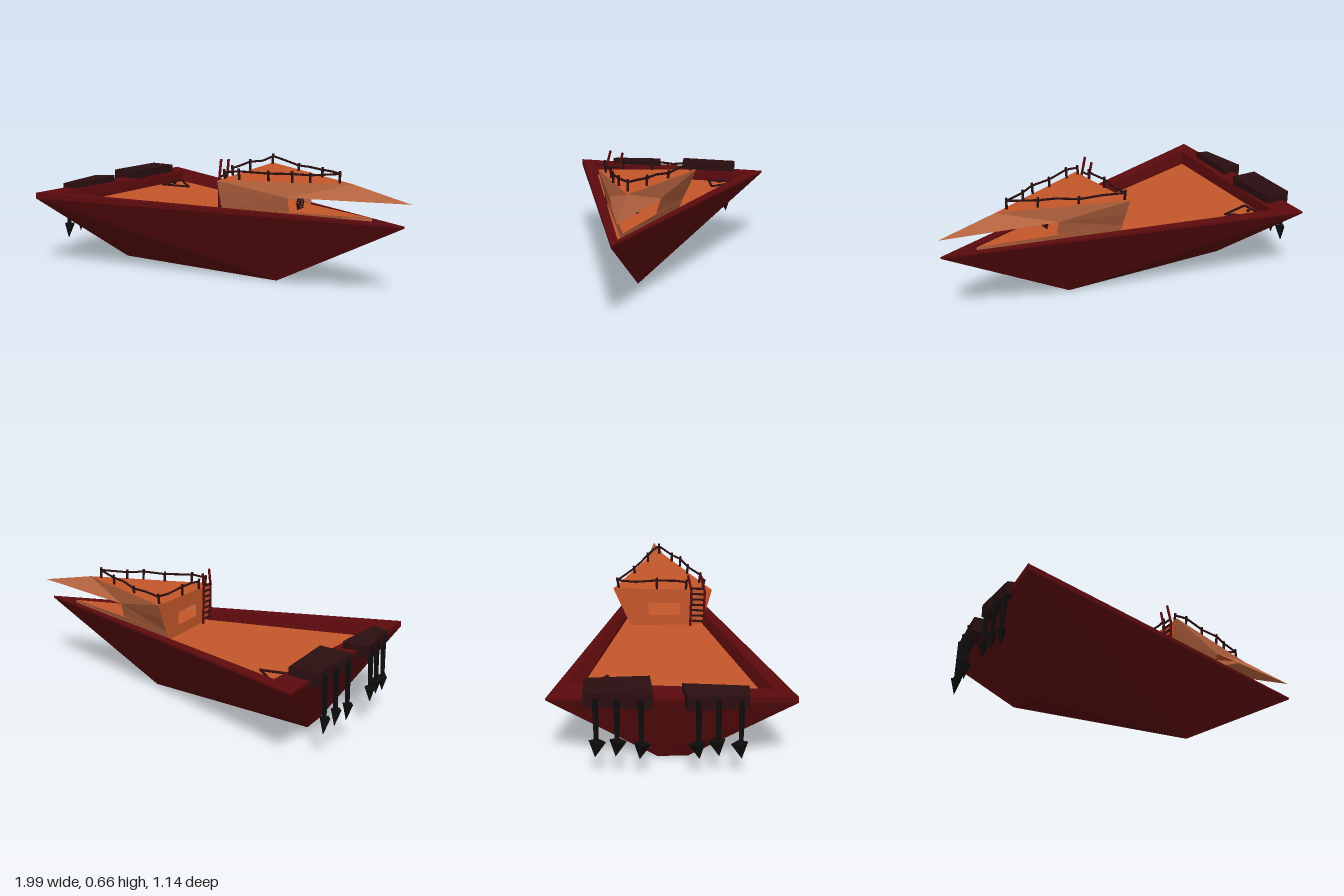
import * as THREE from 'three';

const mat = (color) => new THREE.MeshStandardMaterial({ color, flatShading: true, side: THREE.DoubleSide });
const RED = mat(0x5c0a0d), ORANGE = mat(0xc4562a), WALL = mat(0xb5633f), DARK = mat(0x2a0e10), BLACK = mat(0x0e0c0c);
const V = (p) => new THREE.Vector3(...p);

export function createModel() {
  const model = new THREE.Group();

  const add = (name, geometry, material, parent = model) => {
    const mesh = new THREE.Mesh(geometry, material);
    mesh.name = name;
    parent.add(mesh);
    return mesh;
  };
  const group = (name) => {
    const g = new THREE.Group();
    g.name = name;
    model.add(g);
    return g;
  };
  // Flat panels: each face is a convex loop of corner points
  const panels = (name, faces, material, parent) => {
    const pos = [];
    for (const f of faces)
      for (let i = 1; i < f.length - 1; i++) pos.push(...f[0], ...f[i], ...f[i + 1]);
    const g = new THREE.BufferGeometry();
    g.setAttribute('position', new THREE.Float32BufferAttribute(pos, 3));
    g.computeVertexNormals();
    return add(name, g, material, parent);
  };
  // Straight stick between two points
  const stick = (name, a, b, r, material, parent, r2 = r) => {
    const from = V(a), dir = V(b).sub(from);
    const mesh = add(name, new THREE.CylinderGeometry(r2, r, dir.length(), 5), material, parent);
    mesh.position.copy(from).addScaledVector(dir, 0.5);
    mesh.quaternion.setFromUnitVectors(new THREE.Vector3(0, 1, 0), dir.normalize());
    return mesh;
  };

  // Hull: triangular rim tapering to a narrow flat keel, with a sunken deck
  const rim = [[-0.945, 0.43, 0.57], [-0.87, 0.405, -0.57], [0.975, 0.4, 0]];
  const low = [[-0.945, 0.4, 0.572], [-0.87, 0.395, -0.572], [0.975, 0.39, 0]];
  const keel = [[-0.72, 0, 0.09], [-0.72, 0, -0.06], [0.25, 0, 0.005]];
  const inner = [[-0.855, 0.425, 0.475], [-0.735, 0.412, -0.475], [0.87, 0.402, -0.01]];
  const deck = [[-0.845, 0.355, 0.455], [-0.74, 0.355, -0.435], [0.84, 0.365, -0.01]];
  const band = (name, a, b) => panels(name, [0, 1, 2].map((i) => {
    const j = (i + 1) % 3;
    // The last side folds along its other diagonal, from the stern corner
    return i < 2 ? [a[i], a[j], b[j], b[i]] : [a[j], b[j], b[i], a[i]];
  }), RED);
  band('hullSides', low, keel);
  panels('keel', [keel], RED);
  band('gunwaleEdge', rim, low);
  band('gunwaleTop', inner, rim);
  band('gunwaleInside', deck, inner);
  panels('deck', [deck], ORANGE);

  // Cabin: flared walls, open wraparound window and a pointed visor
  const cabin = group('cabin');
  const peak = [0.68, 0.57, -0.02], tip = [0.996, 0.505, -0.03];
  const roofL = [0.045, 0.56, 0.255], roofR = [0.045, 0.575, -0.27];
  const footL = [0.045, 0.36, 0.2], footR = [0.045, 0.36, -0.18];
  const floorL = [0.045, 0.411, 0.215], floorR = [0.045, 0.411, -0.195], floorTip = [0.79, 0.411, -0.02];
  for (const [name, top, foot, floor, s, shift] of [
    ['leftWall', roofL, footL, floorL, 1, 0], ['rightWall', roofR, footR, floorR, -1, -0.01]]) {
    const corner = [0.385, 0.49, s * 0.125 + shift];
    const sill = [0.385, 0.411, s * 0.1 + shift];
    const mid = [0.045, 0.49, (top[2] + floor[2]) / 2 + s * 0.003];
    panels(name, [
      [floor, sill, corner, mid], [mid, corner, top], [top, corner, peak], [peak, corner, tip],
      [foot, floor, floorTip, [0.79, 0.36, -0.015]],
    ], WALL, cabin);
  }
  panels('roof', [[roofL, peak, roofR]], ORANGE, cabin);
  panels('cabinFloor', [[floorL, floorTip, floorR]], ORANGE, cabin);

  // Rear wall with a window opening
  const opening = [[0.045, 0.418, 0.088], [0.045, 0.418, -0.085], [0.045, 0.487, -0.085], [0.045, 0.487, 0.088]];
  const outline = [footL, footR, roofR, roofL];
  panels('rearWall', outline.map((p, i) => {
    const j = (i + 1) % 4;
    return [p, outline[j], opening[j], opening[i]];
  }), ORANGE, cabin);

  // Steering wheel on a short post
  const wheel = group('steeringWheel');
  const wy = 0.44, wx = 0.39;
  const ring = add('wheelRing', new THREE.TorusGeometry(0.031, 0.004, 5, 20), DARK, wheel);
  ring.position.set(wx, wy, 0.005);
  ring.rotation.y = Math.PI / 2;
  for (let i = 0; i < 8; i++) {
    const a = (i * Math.PI) / 4;
    stick('spoke', [wx, wy, 0.005], [wx, wy + 0.041 * Math.sin(a), 0.005 + 0.041 * Math.cos(a)], 0.003, DARK, wheel);
  }
  stick('wheelPost', [wx - 0.01, 0.4, 0.005], [wx - 0.005, wy, 0.005], 0.005, DARK, wheel);

  // Roof railing: uneven rail with a post at every other bend
  const rail = group('roofRailing');
  const path = [
    [0.06, 0.6, 0.215], [0.14, 0.61, 0.2], [0.28, 0.605, 0.14], [0.4, 0.61, 0.105], [0.48, 0.605, 0.06],
    [0.61, 0.615, -0.01], [0.55, 0.615, -0.045], [0.47, 0.61, -0.08], [0.38, 0.61, -0.11], [0.28, 0.6, -0.16],
    [0.17, 0.61, -0.2], [0.06, 0.615, -0.25], [0.06, 0.605, -0.15], [0.05, 0.615, -0.04], [0.055, 0.61, 0.06], [0.045, 0.605, 0.12],
  ];
  path.forEach((p, i) => {
    if (i < path.length - 1) stick('rail', p, path[i + 1], 0.006, DARK, rail);
    if (i % 2 || i < 5) stick('post', [p[0], 0.565, p[2] * 0.96], [p[0], p[1] + 0.014, p[2]], 0.007, DARK, rail);
  });

  // Ladder up the back of the cabin
  const ladder = group('ladder');
  const sides = [[[0.03, 0.36, 0.215], [0.03, 0.56, 0.215], [0.025, 0.66, 0.19]], [[0.03, 0.36, 0.14], [0.03, 0.56, 0.145], [0.025, 0.65, 0.125]]];
  for (const [a, b, c] of sides) {
    stick('ladderSide', a, b, 0.007, RED, ladder);
    stick('ladderSide', b, c, 0.007, RED, ladder);
  }
  for (let i = 0; i < 7; i++) {
    const y = 0.385 + i * 0.031;
    stick('rung', [0.03, y, 0.215], [0.03, y + 0.004, 0.14], 0.006, DARK, ladder);
  }

  // Triangular deck hatch frame with a small handle
  const hatch = group('deckHatch');
  const h = [[-0.725, 0.36, -0.43], [-0.735, 0.36, -0.26], [-0.565, 0.36, -0.295]];
  h.forEach((p, i) => stick('hatchFrame', p, h[(i + 1) % 3], 0.007, DARK, hatch));
  add('hatchHandle', new THREE.BoxGeometry(0.015, 0.012, 0.012), DARK, hatch).position.set(-0.7, 0.362, -0.33);

  // Outboard motors: skewed box housings, each with three drive legs
  const motor = (foot, tops, legs) => {
    const g = group('outboardMotor');
    const bottom = foot.map(([x, z]) => [x, 0.38, z]);
    const top = foot.map(([x, z], i) => [x, tops[i], z]);
    panels('motorHousing', [top, bottom, ...foot.map((_, i) => {
      const j = (i + 1) % 4;
      return [bottom[i], bottom[j], top[j], top[i]];
    })], DARK, g);
    for (const [x, z, y] of legs) {
      stick('driveLeg', [x + 0.01, 0.43, z], [x, y + 0.07, z], 0.016, BLACK, g, 0.011);
      const cone = add('propellerCone', new THREE.ConeGeometry(0.04, 0.085, 4), BLACK, g);
      cone.scale.x = 0.7;
      cone.rotation.x = Math.PI + (z > 0 ? -0.15 : 0.15);
      cone.position.set(x, y + 0.043, z);
    }
  };
  motor([[-0.92, -0.4], [-0.77, -0.4], [-0.785, -0.095], [-0.955, -0.08]], [0.452, 0.455, 0.468, 0.455],
    [[-0.937, -0.345, 0.13], [-0.95, -0.25, 0.14], [-0.962, -0.14, 0.13]]);
  motor([[-0.97, 0.07], [-0.84, 0.05], [-0.875, 0.355], [-0.955, 0.35]], [0.445, 0.455, 0.455, 0.445],
    [[-0.97, 0.12, 0.13], [-0.964, 0.21, 0.14], [-0.957, 0.315, 0.12]]);

  return model;
}
